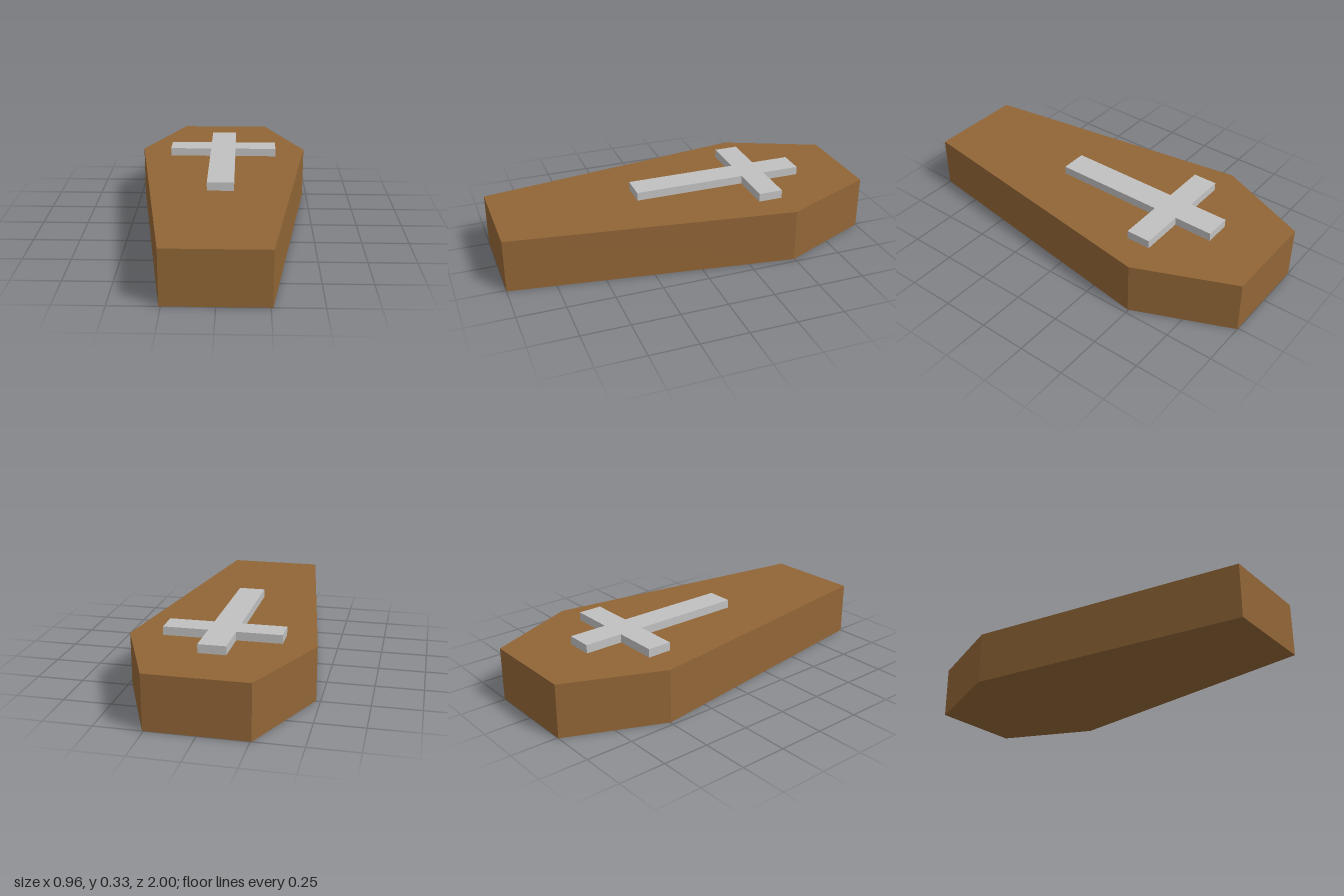
import * as THREE from 'three';

// Extrudes an outline of [x, z] points upward from y = base
function slab(name, points, base, height, material) {
  const shape = new THREE.Shape(points.map(([x, z]) => new THREE.Vector2(x, -z)));
  const geometry = new THREE.ExtrudeGeometry(shape, { depth: height, bevelEnabled: false });
  geometry.rotateX(-Math.PI / 2);
  const mesh = new THREE.Mesh(geometry, material);
  mesh.name = name;
  mesh.position.y = base;
  return mesh;
}

// Completes a right-hand half outline with its mirror image
const mirrored = (half) => [...half, ...half.map(([x, z]) => [-x, z]).reverse()];

export function createModel() {
  const wood = new THREE.MeshStandardMaterial({ color: 0x916536 });
  wood.name = 'brown wood';
  const stone = new THREE.MeshStandardMaterial({ color: 0xc0c0c0 });
  stone.name = 'light grey';

  const model = new THREE.Group();
  model.name = 'coffin';

  // Six-sided box, widest at the shoulders
  const box = mirrored([[0.26, 1], [0.478, -0.495], [0.257, -1]]);
  model.add(slab('coffinBox', box, 0, 0.285, wood));

  // Raised cross on the lid
  const cross = mirrored([
    [0.071, 0.243], [0.071, -0.36], [0.305, -0.36],
    [0.305, -0.49], [0.071, -0.49], [0.071, -0.698],
  ]);
  model.add(slab('lidCross', cross, 0.285, 0.045, stone));

  return model;
}
